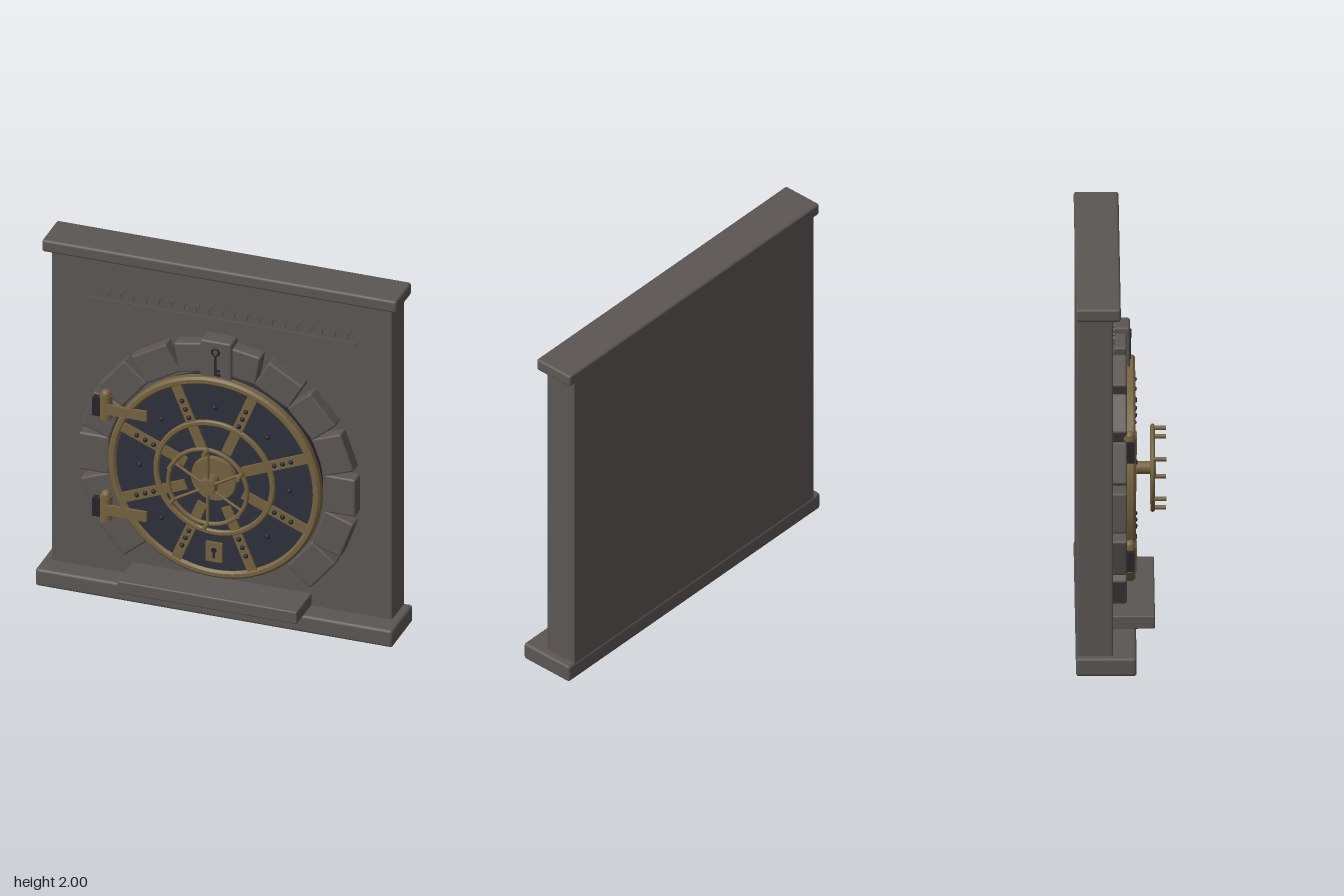
import * as THREE from 'three';
import { RoundedBoxGeometry } from 'three/addons/geometries/RoundedBoxGeometry.js';
import { toCreasedNormals } from 'three/addons/utils/BufferGeometryUtils.js';

const material = (name, color) => {
  const m = new THREE.MeshStandardMaterial({ color });
  m.name = name;
  return m;
};

export function createModel() {
  const stone = material('stone', 0x5b5653);
  const brass = material('brass', 0x75623f);
  const steel = material('blued steel', 0x2d2f3b);
  const iron = material('dark iron', 0x26262b);

  const model = new THREE.Group();
  model.name = 'vaultDoor';

  const add = (parent, name, geometry, mat, x = 0, y = 0, z = 0) => {
    const mesh = new THREE.Mesh(geometry, mat);
    mesh.name = name;
    mesh.position.set(x, y, z);
    parent.add(mesh);
    return mesh;
  };
  const group = (parent, name, x = 0, y = 0, z = 0) => {
    const g = new THREE.Group();
    g.name = name;
    g.position.set(x, y, z);
    parent.add(g);
    return g;
  };
  // Box given by its limits on each axis, with small rounded edges
  const block = (parent, name, mat, [x0, x1], [y0, y1], [z0, z1], r = 0.01) =>
    add(parent, name, new RoundedBoxGeometry(x1 - x0, y1 - y0, z1 - z0, 2, r), mat,
      (x0 + x1) / 2, (y0 + y1) / 2, (z0 + z1) / 2);
  // Cylinder whose axis runs along z
  const disc = (r0, r1, depth, sides = 48) =>
    new THREE.CylinderGeometry(r1, r0, depth, sides).rotateX(Math.PI / 2);
  // Ring with a chamfered front, facing +z
  const ring = (inner, outer, z0, z1, c) => {
    const profile = [[outer, z0], [outer, z1 - c], [outer - c, z1], [inner + c, z1],
      [inner, z1 - c], [inner, z0], [outer, z0]].map(p => new THREE.Vector2(...p));
    return toCreasedNormals(new THREE.LatheGeometry(profile, 72).rotateX(Math.PI / 2), 0.6);
  };
  const polar = (r, a) => [r * Math.cos(a), r * Math.sin(a)];
  const deg = THREE.MathUtils.degToRad;

  // Wall, cornice, base and step
  block(model, 'wall', stone, [-0.94, 0.94], [0.08, 1.95], [-0.228, -0.04]);
  block(model, 'cornice', stone, [-0.978, 0.978], [1.93, 2], [-0.232, 0], 0.014);
  block(model, 'base', stone, [-0.985, 0.985], [0, 0.1], [-0.232, 0.082], 0.016);
  block(model, 'step', stone, [-0.495, 0.495], [0.098, 0.17], [-0.05, 0.18], 0.008);

  // Carved frieze of small hooks above a thin ledge
  const frieze = group(model, 'frieze', 0, 1.69, -0.038);
  add(frieze, 'friezeLedge', new THREE.BoxGeometry(1.49, 0.01, 0.012), stone);
  const hook = new THREE.Shape([[-0.008, 0.024], [0.004, 0.024], [0.004, 0.055], [0.016, 0.05],
    [0.018, 0.06], [0.01, 0.07], [-0.008, 0.07], [-0.014, 0.06], [-0.008, 0.052]]
    .map(p => new THREE.Vector2(...p)));
  const hookGeometry = new THREE.ExtrudeGeometry(hook, { depth: 0.007, bevelEnabled: false });
  for (let i = 0; i < 21; i++) {
    add(frieze, 'friezeHook', hookGeometry, stone, -0.695 + i * 0.0695, 0, 0);
  }

  // Surround of radial stones, open at the bottom
  const surround = group(model, 'surround', 0, 0.815, 0);
  for (let a = -40; a <= 220; a += 20) {
    const [x, y] = polar(0.678, deg(a));
    const s = add(surround, 'archStone', new RoundedBoxGeometry(0.17, 0.22, 0.085, 2, 0.012),
      stone, x, y, -0.008);
    s.rotation.z = deg(a);
  }
  block(surround, 'keystone', stone, [-0.087, 0.087], [0.57, 0.793], [-0.05, 0.053], 0.012);

  // Key emblem on the keystone
  const emblem = group(surround, 'keyEmblem', 0, 0.68, 0.055);
  add(emblem, 'keyBow', new THREE.TorusGeometry(0.019, 0.006, 8, 24), iron, 0, 0.053, 0);
  add(emblem, 'keyShank', new THREE.BoxGeometry(0.011, 0.12, 0.009), iron, 0, -0.025, 0);
  add(emblem, 'keyBit', new THREE.BoxGeometry(0.024, 0.014, 0.009), iron, 0.012, -0.055, 0);
  add(emblem, 'keyBit', new THREE.BoxGeometry(0.028, 0.014, 0.009), iron, 0.014, -0.078, 0);

  // Round door leaf with brass rings
  const door = group(model, 'door', 0, 0.815, 0);
  add(door, 'doorLeaf', disc(0.56, 0.56, 0.108, 72), steel, 0, 0, 0.01);
  add(door, 'outerRing', ring(0.542, 0.586, 0.034, 0.08, 0.012), brass);
  add(door, 'middleRing', ring(0.305, 0.336, 0.06, 0.08, 0.007), brass);
  add(door, 'centrePlate', disc(0.128, 0.122, 0.025), brass, 0, 0, 0.075);

  // Eight riveted straps, with a single rivet in each gap between them
  const rivetGeometry = new THREE.SphereGeometry(0.013, 12, 8);
  for (let i = 0; i < 8; i++) {
    const a = deg(22.5 + i * 45);
    const strap = group(door, 'strap');
    strap.rotation.z = a;
    add(strap, 'strapBar', new THREE.BoxGeometry(0.38, 0.056, 0.014), brass, 0.36, 0, 0.069);
    for (const r of [0.36, 0.41, 0.46]) add(strap, 'strapRivet', rivetGeometry, iron, r, 0, 0.077);
    if (i === 6) continue;
    const [x, y] = polar(0.413, deg(i * 45));
    add(door, 'leafRivet', rivetGeometry, iron, x, y, 0.066);
  }

  // Lock plate and keyhole, in the lowest gap
  const lock = group(door, 'lock', 0, -0.435, 0);
  add(lock, 'lockPlate', new THREE.BoxGeometry(0.09, 0.112, 0.016), brass, 0, 0, 0.07);
  add(lock, 'keyholeTop', disc(0.015, 0.015, 0.006, 20), iron, 0, 0.012, 0.078);
  add(lock, 'keyholeSlot', new THREE.BoxGeometry(0.013, 0.042, 0.006), iron, 0, -0.012, 0.078);

  // Handwheel: rim, hub, six spokes and six grips
  const wheel = group(door, 'handwheel', 0, 0, 0.17);
  add(wheel, 'wheelRim', new THREE.TorusGeometry(0.217, 0.012, 10, 64), brass);
  add(wheel, 'wheelShaft', disc(0.034, 0.034, 0.09, 24), brass, 0, 0, -0.045);
  add(wheel, 'wheelHub', disc(0.05, 0.044, 0.03, 32), brass, 0, 0, 0.002);
  const spokeGeometry = new THREE.CylinderGeometry(0.008, 0.008, 0.19, 10).rotateZ(Math.PI / 2);
  for (let i = 0; i < 6; i++) {
    const a = deg(30 + i * 60);
    const [sx, sy] = polar(0.122, a);
    add(wheel, 'wheelSpoke', spokeGeometry, brass, sx, sy, 0).rotation.z = a;
    const [gx, gy] = polar(0.217, a);
    add(wheel, 'wheelGrip', disc(0.012, 0.012, 0.07, 14), brass, gx, gy, 0.035);
  }

  // Two hinges on the model's right
  for (const y of [1.113, 0.52]) {
    const hinge = group(model, 'hinge', -0.605, y, 0.05);
    add(hinge, 'hingePlate', new THREE.BoxGeometry(0.07, 0.105, 0.075), iron, -0.033, 0, -0.015);
    add(hinge, 'hingeKnuckle', new THREE.CylinderGeometry(0.033, 0.033, 0.135, 24), brass, 0, 0, 0);
    add(hinge, 'hingeFinial', new THREE.SphereGeometry(0.028, 20, 12), brass, 0, 0.073, 0);
    add(hinge, 'hingeStrap', new THREE.BoxGeometry(0.235, 0.056, 0.018), brass, 0.118, 0, 0.027);
  }

  return model;
}
